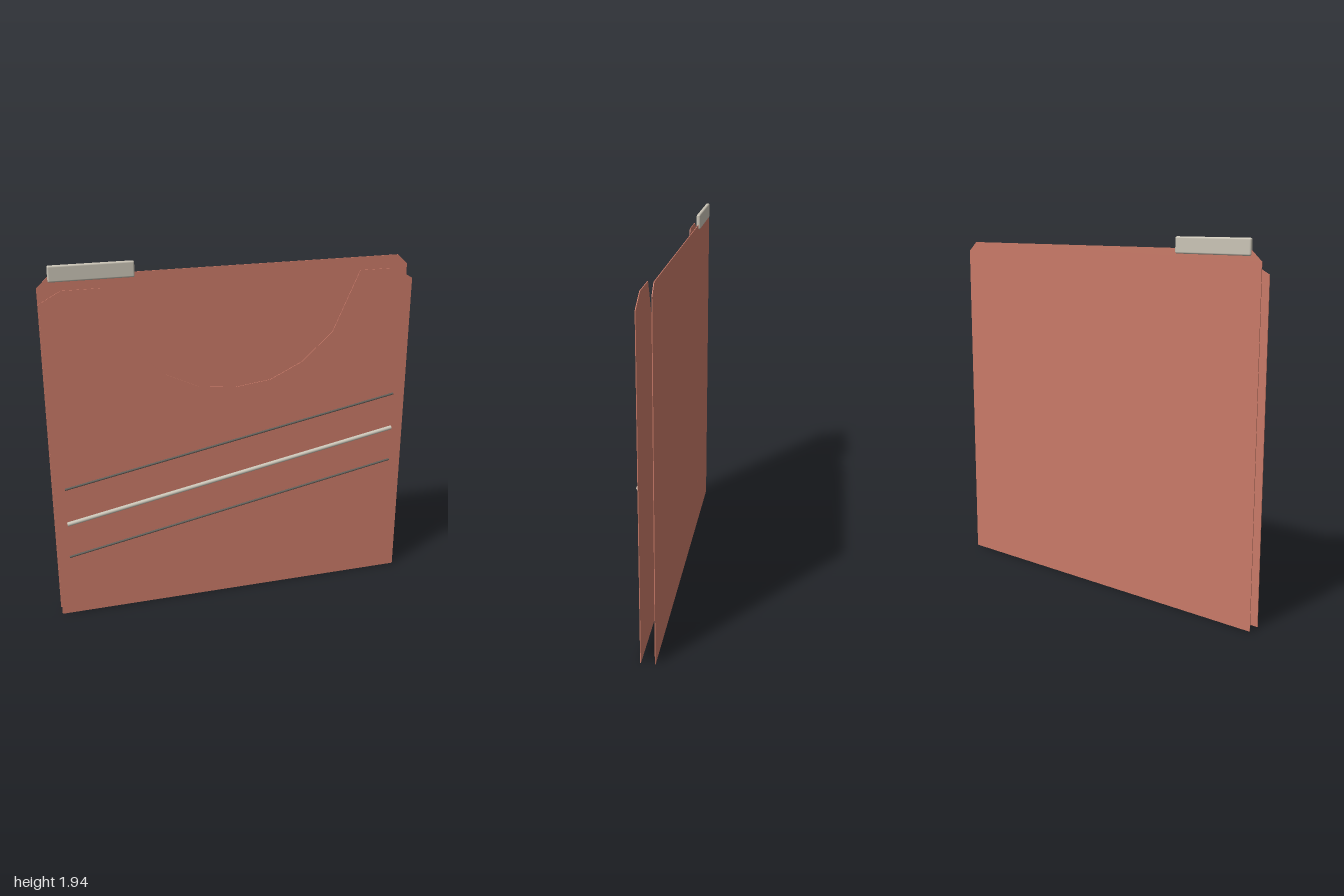
import * as THREE from 'three';
import { RoundedBoxGeometry } from 'three/addons/geometries/RoundedBoxGeometry.js';

const coral = new THREE.MeshStandardMaterial({ name: 'coral card', color: 0xc97a68 });
const cream = new THREE.MeshStandardMaterial({ name: 'warm grey', color: 0xcac4b6 });
const dark = new THREE.MeshStandardMaterial({ name: 'dark grey', color: 0x5f5c56 });

const THICK = 0.004;

// Card sheet from the right half of its outline, mirrored about x = 0
function sheet(name, half, z) {
  const left = half.map(([x, y]) => [-x, y]).reverse();
  const outline = [...half, ...left].map(([x, y]) => new THREE.Vector2(x, y));
  const geometry = new THREE.ExtrudeGeometry(new THREE.Shape(outline), { depth: THICK, bevelEnabled: false });
  geometry.translate(0, 0, z - THICK / 2);
  const mesh = new THREE.Mesh(geometry, coral);
  mesh.name = name;
  return mesh;
}

// Slanted round cord across the front sheet, centred at height y
function cord(name, y, radius, z, material) {
  const rise = 0.35, run = 1.868;
  const mesh = new THREE.Mesh(new THREE.CylinderGeometry(radius, radius, Math.hypot(rise, run), 12), material);
  mesh.name = name;
  mesh.position.set(-0.005, y, z);
  mesh.rotation.z = Math.atan2(rise, run) - Math.PI / 2;
  return mesh;
}

export function createModel() {
  const folder = new THREE.Group();
  folder.name = 'folder';

  // Back sheet with clipped upper corners
  folder.add(sheet('backSheet', [[1, 0], [1, 1.833], [0.943, 1.885]], -0.042));

  // Front sheet with a wide scooped opening
  folder.add(sheet('frontSheet', [
    [1, 0], [1, 1.77], [0.89, 1.83], [0.695, 1.83], [0.55, 1.505],
    [0.38, 1.35], [0.2, 1.265], [0.001, 1.241],
  ], 0.031));

  // Index tab clasping the top edge of the back sheet
  const tab = new THREE.Mesh(new RoundedBoxGeometry(0.436, 0.084, 0.022, 3, 0.009), cream);
  tab.name = 'indexTab';
  tab.position.set(-0.724, 1.9, -0.042);
  folder.add(tab);

  // Central cord between two thinner ones
  folder.add(cord('centreCord', 0.731, 0.0115, 0.0415, cream));
  folder.add(cord('upperCord', 0.936, 0.006, 0.038, dark));
  folder.add(cord('lowerCord', 0.53, 0.006, 0.038, dark));

  return folder;
}
